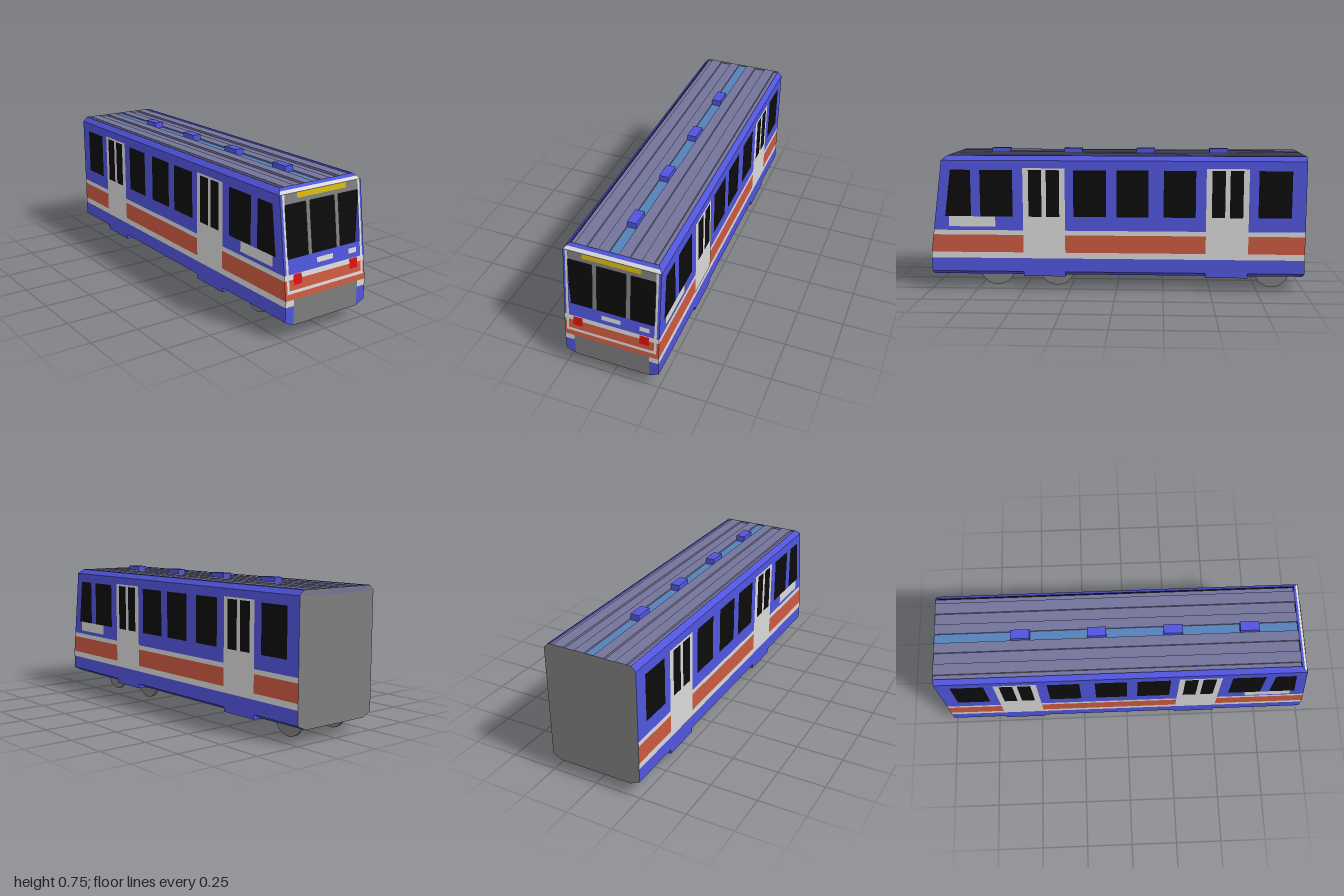
import * as THREE from 'three';

const mat = (name, color) => {
  const m = new THREE.MeshStandardMaterial({ color, side: THREE.DoubleSide });
  m.name = name;
  return m;
};

export function createModel() {
  const blue = mat('blue paint', 0x5055dd);
  const white = mat('white paint', 0xd9d9d9);
  const orange = mat('orange paint', 0xcc5a40);
  const gray = mat('gray metal', 0x7e7e7e);
  const black = mat('black glass', 0x0c0c0c);
  const red = mat('red lamp', 0xdd1010);
  const yellow = mat('yellow sign', 0xd8b80c);
  const roofGray = mat('roof gray', 0x74749a);
  const roofBlue = mat('roof blue', 0x5580b8);

  const model = new THREE.Group();
  model.name = 'railcar';
  const group = (name) => {
    const g = new THREE.Group();
    g.name = name;
    model.add(g);
    return g;
  };
  const add = (parent, name, geo, material, x = 0, y = 0, z = 0) => {
    const m = new THREE.Mesh(geo, material);
    m.name = name;
    m.position.set(x, y, z);
    parent.add(m);
    return m;
  };
  // flat convex panel from corner points
  const panel = (parent, name, pts, material) => {
    const v = [];
    for (let i = 1; i < pts.length - 1; i++) v.push(...pts[0], ...pts[i], ...pts[i + 1]);
    const g = new THREE.BufferGeometry();
    g.setAttribute('position', new THREE.Float32BufferAttribute(v, 3));
    g.computeVertexNormals();
    return add(parent, name, g, material);
  };
  // the nose is upright to y = 0.2, then leans back
  const noseZ = (y) => 1 - Math.max(0, y - 0.2) * 0.131;
  const EAVE = 0.695, TOP = 0.72, ROOF_Z = 0.905;

  // ---- side walls, mirrored
  const doors = [[0.275, 0.5], [-0.7, -0.475]];
  for (const s of [1, -1]) {
    const side = group(s > 0 ? 'leftSide' : 'rightSide');
    // inset: distance of the forward edge behind the nose, when it follows the nose
    const plate = (name, z0, z1, y0, y1, m, out = 0, inset = null) => {
      const x = s * (0.25 + out);
      const f = (y) => (inset === null ? z1 : noseZ(y) - inset);
      const p = [[x, y0, f(y0)], [x, y0, z0], [x, y1, z0], [x, y1, f(y1)]];
      panel(side, name, s > 0 ? p : p.reverse(), m);
    };
    // painted bands
    [['lowerBand', 0.095, 0.168, blue], ['lowerStripe', 0.168, 0.2, white],
      ['orangeBand', 0.2, 0.295, orange], ['upperStripe', 0.295, 0.32, white],
      ['windowBand', 0.32, EAVE, blue]]
      .forEach(([n, y0, y1, m]) => plate(n, -1, 1, y0, y1, m, 0, 0));
    panel(side, 'eave', [[s * 0.25, EAVE, noseZ(EAVE)], [s * 0.25, EAVE, -1],
      [s * 0.225, TOP, -1], [s * 0.225, TOP, ROOF_Z]], blue);
    panel(side, 'skirt', [[s * 0.25, 0.095, 1], [s * 0.25, 0.095, -1],
      [s * 0.2, 0.07, -1], [s * 0.2, 0.07, 1]], blue);
    // doors with twin windows and a step below
    for (const [z0, z1] of doors) {
      plate('door', z0, z1, 0.2, 0.655, white, 0.002);
      for (const a of [0.03, 0.125]) {
        plate('doorWindow', z0 + a, z0 + a + 0.07, 0.395, 0.645, black, 0.004);
      }
      add(side, 'doorStep', new THREE.BoxGeometry(0.05, 0.026, z1 - z0), blue,
        s * 0.225, 0.083, (z0 + z1) / 2);
    }
    // windows
    for (const [z0, z1] of [[0.555, 0.73], [0.055, 0.23], [-0.17, 0], [-0.42, -0.25], [-0.925, -0.75]]) {
      plate('window', z0, z1, 0.395, 0.645, black, 0.002);
    }
    plate('cabWindow', 0.78, 0, 0.395, 0.645, black, 0.002, 0.054);
    plate('cabSidePlate', 0.65, 0.9, 0.34, 0.395, white, 0.002);
  }

  // ---- front
  const front = group('front');
  const face = (name, x0, x1, y0, y1, m, out = 0) => panel(front, name,
    [[x0, y0, noseZ(y0) + out], [x1, y0, noseZ(y0) + out],
      [x1, y1, noseZ(y1) + out], [x0, y1, noseZ(y1) + out]], m);
  face('lowerPanel', -0.2, 0.2, 0.07, 0.2, gray);
  face('orangeBand', -0.25, 0.25, 0.2, 0.295, orange);
  face('upperStripe', -0.25, 0.25, 0.295, 0.32, white);
  face('cabBand', -0.225, 0.225, 0.32, 0.395, blue);
  face('windscreenHeader', -0.225, 0.225, 0.645, EAVE, gray);
  face('destinationSign', -0.15, 0.15, 0.668, 0.694, yellow, 0.002);
  face('frameBottom', -0.238, 0.238, 0.23, 0.245, white, 0.002);
  face('centrePlate', -0.05, 0.05, 0.345, 0.37, white, 0.002);
  face('sidePlate', 0.15, 0.2, 0.345, 0.37, white, 0.002);
  for (const s of [1, -1]) {
    const strip = (n, a, b, y0, y1, m, out) =>
      face(n, Math.min(s * a, s * b), Math.max(s * a, s * b), y0, y1, m, out);
    strip('cornerPost', 0.225, 0.25, 0.32, EAVE, blue);
    strip('framePost', 0.225, 0.238, 0.23, EAVE, white, 0.002);
    strip('windscreenPillar', 0.075, 0.1, 0.395, 0.645, gray);
    strip('cornerStripe', 0.2, 0.25, 0.168, 0.2, white);
    strip('lamp', 0.15, 0.2, 0.27, 0.32, red, 0.004);
    const c = [[s * 0.2, 0.07, 1], [s * 0.25, 0.095, 1], [s * 0.25, 0.168, 1], [s * 0.2, 0.168, 1]];
    panel(front, 'lowerCorner', s > 0 ? c : c.reverse(), blue);
  }
  // sloped brow up to the roof, white below and blue above
  const browZ = noseZ(EAVE), midY = 0.708, midZ = (browZ + ROOF_Z) / 2;
  panel(front, 'browStripe', [[-0.25, EAVE, browZ], [0.25, EAVE, browZ],
    [0.238, midY, midZ], [-0.238, midY, midZ]], white);
  panel(front, 'brow', [[-0.238, midY, midZ], [0.238, midY, midZ],
    [0.225, TOP, ROOF_Z], [-0.225, TOP, ROOF_Z]], blue);

  // ---- back wall
  panel(model, 'backWall', [[0.2, 0.07, -1], [-0.2, 0.07, -1], [-0.25, 0.095, -1], [-0.25, EAVE, -1],
    [-0.225, TOP, -1], [0.225, TOP, -1], [0.25, EAVE, -1], [0.25, 0.095, -1]], gray);

  // ---- dark cabin seen through the windscreen and from below
  add(model, 'cabin', new THREE.BoxGeometry(0.48, 0.39, 1.925), black, 0, 0.495, -0.0335);

  // ---- ribbed roof
  const roof = group('roof');
  const roofLen = ROOF_Z + 1, roofMid = (ROOF_Z - 1) / 2;
  add(roof, 'roofDeck', new THREE.BoxGeometry(0.45, 0.018, roofLen), roofGray, 0, 0.7, roofMid);
  add(roof, 'centreStrip', new THREE.BoxGeometry(0.05, 0.004, roofLen), roofBlue, 0, 0.71, roofMid);
  for (const s of [1, -1]) {
    for (const [x, w] of [[0.0525, 0.055], [0.17, 0.06]]) {
      add(roof, 'rib', new THREE.BoxGeometry(w, 0.012, roofLen), roofGray, s * x, 0.714, roofMid);
    }
  }
  for (const z of [0.65, 0.25, -0.15, -0.55]) {
    add(roof, 'vent', new THREE.BoxGeometry(0.05, 0.035, 0.1), blue, 0, 0.7275, z);
  }

  // ---- running gear
  const gear = group('runningGear');
  const cyl = (name, r, len, x, z) => {
    const g = new THREE.CylinderGeometry(r, r, len, 24).rotateZ(Math.PI / 2);
    add(gear, name, g, gray, x, 0.095, z);
  };
  for (const z of [0.66, 0.33, -0.84]) {
    cyl('axle', 0.012, 0.32, 0, z);
    for (const s of [1, -1]) cyl('wheel', 0.095, 0.014, s * 0.145, z);
  }
  add(gear, 'bogieFrame', new THREE.BoxGeometry(0.2, 0.08, 0.36), gray, 0, 0.1, 0.495);

  return model;
}
